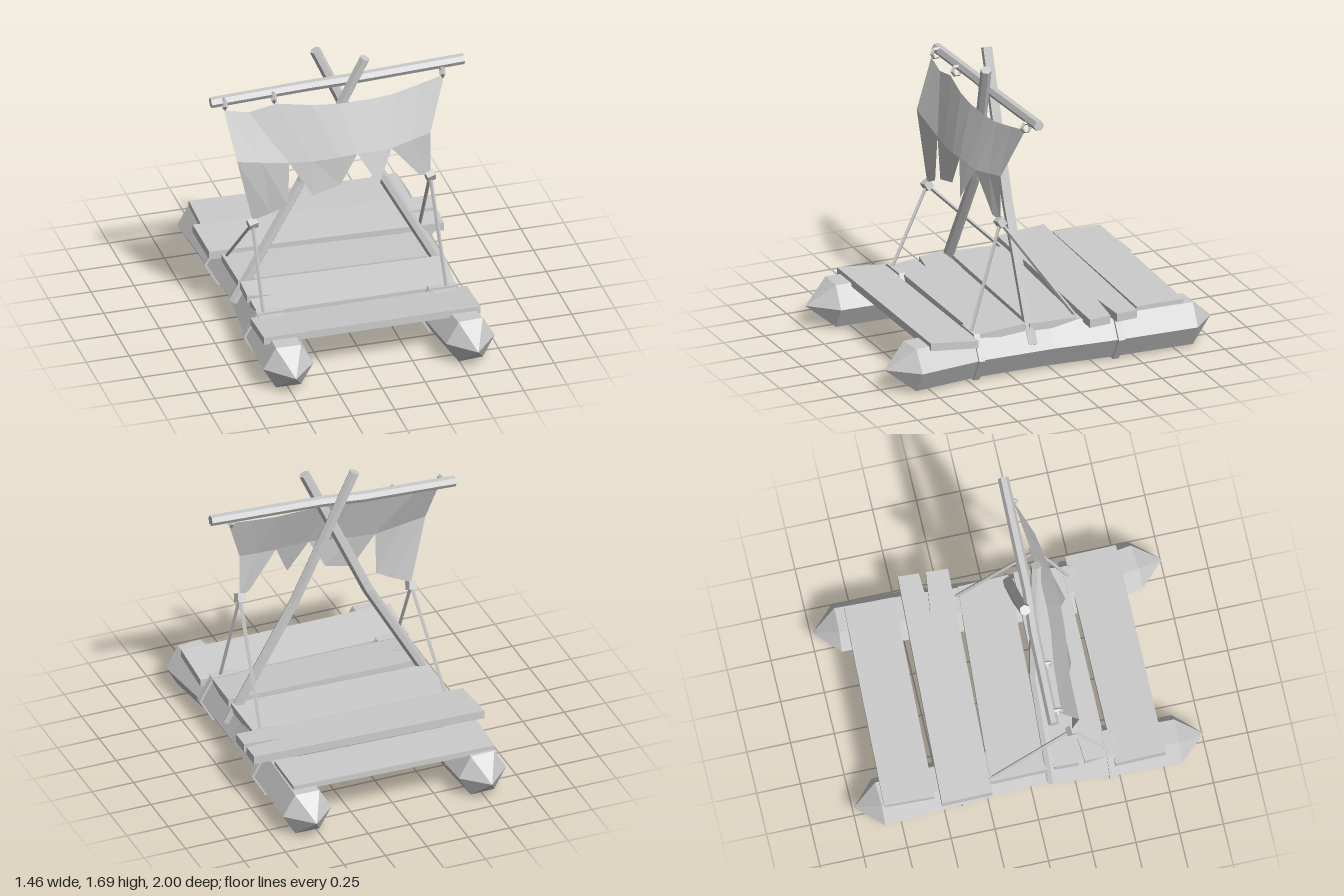
import * as THREE from 'three';

const material = new THREE.MeshStandardMaterial({ color: 0xcccccc, flatShading: true });
const clothMaterial = new THREE.MeshStandardMaterial({ color: 0xcccccc, flatShading: true, side: THREE.DoubleSide });

// Faceted rod through [x, y, z] points; a radius per point or one for all, closed at both ends
function rodGeometry(points, radius, sides = 6, up = [0, 1, 0]) {
  let path = points.map((p) => new THREE.Vector3(...p));
  let radii = Array.isArray(radius) ? radius : path.map(() => radius);
  path = [path[0], ...path, path[path.length - 1]];
  radii = [0, ...radii, 0];
  const upVector = new THREE.Vector3(...up);
  const position = [], index = [];
  path.forEach((p, i) => {
    const before = path[Math.max(i - 1, 0)], after = path[Math.min(i + 1, path.length - 1)];
    const t = after.clone().sub(before).normalize();
    const u = upVector.clone().cross(t).normalize();
    const v = t.clone().cross(u);
    for (let j = 0; j < sides; j++) {
      const a = (j / sides) * Math.PI * 2;
      const q = p.clone().addScaledVector(u, Math.cos(a) * radii[i]).addScaledVector(v, Math.sin(a) * radii[i]);
      position.push(q.x, q.y, q.z);
      if (i === path.length - 1) continue;
      const k = i * sides, n = (j + 1) % sides;
      index.push(k + j, k + n, k + sides + n, k + j, k + sides + n, k + sides + j);
    }
  });
  return finish(position, index);
}

function finish(position, index) {
  const indexed = new THREE.BufferGeometry();
  indexed.setAttribute('position', new THREE.Float32BufferAttribute(position, 3));
  indexed.setIndex(index);
  const geometry = indexed.toNonIndexed();
  geometry.computeVertexNormals();
  return geometry;
}

// Plank from an [x, z] outline, tilted by the height of its top at two z values
function plankGeometry(outline, thickness, [zBack, yBack], [zFront, yFront]) {
  const shape = new THREE.Shape(outline.map(([x, z]) => new THREE.Vector2(x, -z)));
  const geometry = new THREE.ExtrudeGeometry(shape, { depth: thickness, bevelEnabled: false });
  geometry.rotateX(-Math.PI / 2);
  const p = geometry.attributes.position;
  const slope = (yFront - yBack) / (zFront - zBack);
  for (let i = 0; i < p.count; i++) {
    p.setY(i, p.getY(i) - thickness + yBack + slope * (p.getZ(i) - zBack));
  }
  geometry.computeVertexNormals();
  return geometry;
}

// Sail: columns of top, crease and hem points; a null hem means the cloth is torn up to the crease
function sailGeometry() {
  const top = [[-0.67, 1.43, 0.15], [-0.53, 1.4, 0.16], [-0.37, 1.435, 0.17], [-0.17, 1.41, 0.2], [-0.02, 1.4, 0.21],
    [0.06, 1.4, 0.21], [0.17, 1.4, 0.21], [0.3, 1.405, 0.2], [0.45, 1.43, 0.18], [0.61, 1.46, 0.16]];
  const crease = [[-0.625, 1.15, 0.26], [-0.48, 1.125, 0.265], [-0.325, 1.1, 0.27], [-0.19, 1.1, 0.29], [-0.04, 1.11, 0.305],
    [0.06, 1.12, 0.31], [0.17, 1.12, 0.31], [0.26, 1.12, 0.305], [0.39, 1.14, 0.28], [0.5, 1.16, 0.26]];
  // Each tattered strip hangs from a run of crease columns
  const strips = [
    { from: 0, hem: [[-0.53, 0.75, 0.24], [-0.43, 0.79, 0.26], [-0.335, 0.835, 0.28]] },
    { from: 2, hem: [null, [-0.2, 0.895, 0.31], [-0.04, 0.935, 0.31], null] },
    { from: 5, hem: [null, [0.17, 0.925, 0.36], null] },
    { from: 7, hem: [null, [0.43, 0.91, 0.28], [0.5, 0.885, 0.26]] },
  ];
  const position = [], index = [];
  const addBand = (upper, lower) => {
    const base = position.length / 3, n = upper.length;
    position.push(...upper.flat(), ...lower.flat());
    for (let i = 0; i < n - 1; i++) {
      const a = base + i, b = a + n;
      if (lower[i] !== upper[i]) index.push(a, b, b + 1);
      if (lower[i + 1] !== upper[i + 1]) index.push(a, b + 1, a + 1);
      else index.push(a, b, a + 1);
    }
  };
  addBand(top, crease);
  for (const { from, hem } of strips) {
    const upper = crease.slice(from, from + hem.length);
    addBand(upper, hem.map((p, i) => p ?? upper[i]));
  }
  return finish(position, index);
}

export function createModel() {
  const raft = new THREE.Group();
  raft.name = 'raft';
  const add = (name, geometry, mat = material) => {
    const mesh = new THREE.Mesh(geometry, mat);
    mesh.name = name;
    raft.add(mesh);
    return mesh;
  };

  // Floats: slightly bowed six-sided logs with pointed ends and two lashing bands
  const floats = [
    { side: 'right', xs: [-0.5, -0.49, -0.45, -0.47, -0.5] },
    { side: 'left', xs: [0.56, 0.51, 0.515, 0.545, 0.56] },
  ];
  const zs = [0.845, 0.45, 0, -0.39, -0.86];
  for (const { side, xs } of floats) {
    const body = xs.map((x, i) => [x, 0.14, zs[i]]);
    add(side + 'Float', rodGeometry(
      [[xs[0], 0.14, 1], ...body, [xs[4], 0.14, -1]], [0, 0.145, 0.145, 0.145, 0.145, 0.145, 0]));
    for (const i of [1, 3]) {
      add(side + 'FloatBand', rodGeometry(
        [[xs[i], 0.14, zs[i] + 0.018], [xs[i], 0.14, zs[i] - 0.018]], 0.16));
    }
  }

  // Deck planks from back to front, two of them split at one end
  const planks = [
    [[[-0.58, -0.845], [0.62, -0.805], [0.615, -0.52], [-0.59, -0.56]], 0.035, [-0.84, 0.29], [-0.52, 0.29]],
    [[[-0.65, -0.53], [0.72, -0.475], [0.715, -0.355], [0.47, -0.345], [0.715, -0.315], [0.71, -0.19], [-0.64, -0.24]],
      0.05, [-0.52, 0.32], [-0.19, 0.3]],
    [[[-0.57, -0.235], [0.6, -0.16], [0.605, 0.13], [-0.57, 0.09]], 0.045, [-0.2, 0.28], [0.12, 0.29]],
    [[[-0.57, 0.13], [0.61, 0.16], [0.59, 0.445], [-0.56, 0.44], [-0.565, 0.305], [-0.42, 0.295], [-0.57, 0.27]],
      0.045, [0.15, 0.3], [0.45, 0.27]],
    [[[-0.61, 0.47], [0.65, 0.465], [0.645, 0.755], [-0.615, 0.755]], 0.045, [0.47, 0.262], [0.755, 0.29]],
  ];
  for (const plank of planks) add('deckPlank', plankGeometry(...plank));

  // Crossed mast poles and the yard
  add('rightMastPole', rodGeometry(
    [[-0.6, 0.17, 0.11], [-0.205, 0.87, 0.095], [0.14, 1.655, 0.185]], 0.031, 6, [0, 0, 1]));
  add('leftMastPole', rodGeometry(
    [[0.625, 0.17, 0.125], [0.24, 0.88, 0.1], [-0.115, 1.68, 0.065]], 0.031, 6, [0, 0, 1]));
  add('yard', rodGeometry(
    [[-0.73, 1.455, 0.09], [-0.18, 1.48, 0.1], [0.06, 1.495, 0.12], [0.73, 1.525, 0.13]], 0.031));

  // Sail and the ties that hold it to the yard
  add('sail', sailGeometry(), clothMaterial);
  for (const [x, y, z] of [[-0.66, 1.455, 0.125], [-0.375, 1.455, 0.13], [0.6, 1.475, 0.15]]) {
    const tie = add('sailTie', new THREE.TorusGeometry(0.027, 0.012, 4, 6));
    tie.rotation.y = Math.PI / 2;
    tie.position.set(x, y, z);
  }

  // Knots at the lower sail corners with two ropes each down to the deck
  const rigging = [
    { knot: [-0.53, 0.73, 0.24], ends: [[-0.53, 0.25, 0.465], [-0.545, 0.27, -0.225]] },
    { knot: [0.497, 0.885, 0.262], ends: [[0.535, 0.25, 0.465], [0.555, 0.26, -0.18]] },
  ];
  for (const { knot, ends } of rigging) {
    const mesh = add('cornerKnot', new THREE.BoxGeometry(0.05, 0.05, 0.045));
    mesh.position.set(...knot);
    mesh.rotation.set(0.5, 0.2, 0.15);
    for (const end of ends) add('rope', rodGeometry([knot, end], 0.011, 4, [1, 0, 0]));
  }
  return raft;
}
